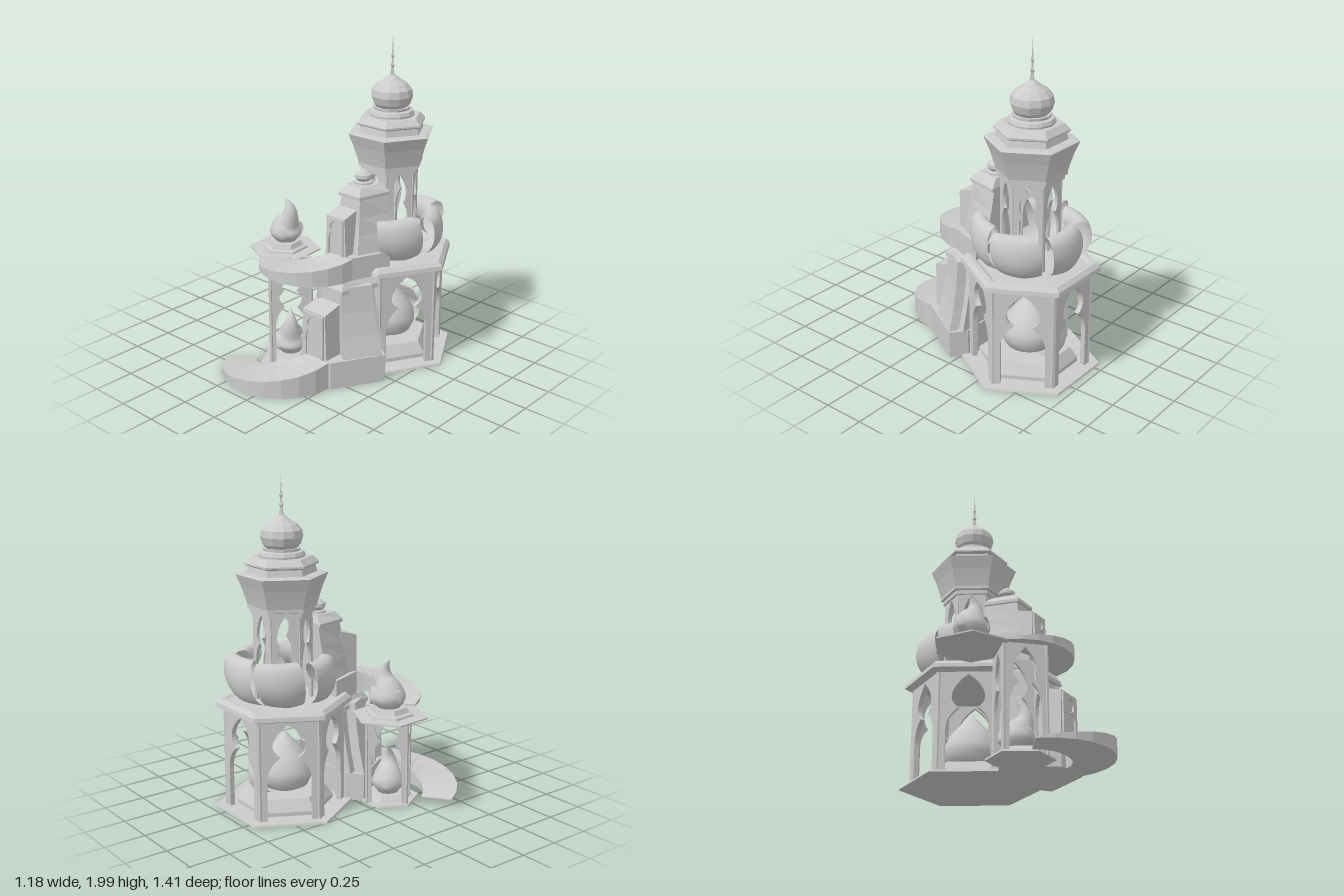
import * as THREE from 'three';
import { ParametricGeometry } from 'three/addons/geometries/ParametricGeometry.js';

const flat = new THREE.MeshStandardMaterial({ color: 0xcccccc, flatShading: true, side: THREE.DoubleSide });
const smooth = new THREE.MeshStandardMaterial({ color: 0xcccccc, side: THREE.DoubleSide });
const V2 = (p) => new THREE.Vector2(p[0], p[1]);
const V3 = (p) => new THREE.Vector3(p[0], p[1], p[2]);

function add(parent, name, geo, mat = flat) {
  const mesh = new THREE.Mesh(geo, mat);
  mesh.name = name;
  parent.add(mesh);
  return mesh;
}

function group(parent, name, x = 0, y = 0, z = 0) {
  const g = new THREE.Group();
  g.name = name;
  g.position.set(x, y, z);
  parent.add(g);
  return g;
}

// Faceted turned solid from [radius, height] points
function turned(parent, name, pts, sides = 6, phase = Math.PI / 6, mat = flat) {
  return add(parent, name, new THREE.LatheGeometry(pts.map(V2), sides, phase), mat);
}

// Closed solid through rings of equal point count, capped at both ends
function loft(rings) {
  const m = rings[0].length, pos = rings.flat(2), idx = [];
  for (let r = 0; r < rings.length - 1; r++)
    for (let i = 0; i < m; i++) {
      const a = r * m + i, b = r * m + (i + 1) % m;
      idx.push(a, b, a + m, b, b + m, a + m);
    }
  const last = (rings.length - 1) * m;
  for (let i = 1; i < m - 1; i++) idx.push(0, i + 1, i, last, last + i, last + i + 1);
  const g = new THREE.BufferGeometry();
  g.setAttribute('position', new THREE.Float32BufferAttribute(pos, 3));
  g.setIndex(idx);
  g.computeVertexNormals();
  return g;
}

// Panel with a keyhole-shaped arch open at the foot
function archPanel(w, h, depth) {
  const k = w / 2, half = new THREE.Path();
  half.moveTo(0.72 * k, 0);
  half.lineTo(0.72 * k, 0.42 * h);
  half.quadraticCurveTo(0.7 * k, 0.56 * h, 0.3 * k, 0.64 * h);
  half.bezierCurveTo(0.66 * k, 0.7 * h, 0.66 * k, 0.83 * h, 0, 0.97 * h);
  const right = half.getPoints(8);
  const left = right.slice(0, -1).map((p) => new THREE.Vector2(-p.x, p.y));
  const outline = [V2([k, 0]), V2([k, h]), V2([-k, h]), V2([-k, 0])];
  const shape = new THREE.Shape([...outline, ...left, ...right.reverse()]);
  return new THREE.ExtrudeGeometry(shape, { depth, bevelEnabled: false });
}

// Ring of arch panels with a slim column on each corner
function arcade(parent, name, n, R, h, depth, phase) {
  const g = group(parent, name);
  const panel = archPanel(2 * R * Math.sin(Math.PI / n), h, depth);
  const column = new THREE.CylinderGeometry(depth * 0.6, depth * 0.6, h, 6);
  for (let i = 0; i < n; i++) {
    const a = phase + (i * 2 * Math.PI) / n, v = a + Math.PI / n, ap = R * Math.cos(Math.PI / n) - depth;
    const p = add(g, 'archPanel', panel);
    p.rotation.y = a;
    p.position.set(Math.sin(a) * ap, 0, Math.cos(a) * ap);
    add(g, 'cornerColumn', column).position.set(Math.sin(v) * (R - depth / 2), h / 2, Math.cos(v) * (R - depth / 2));
  }
  return g;
}

// Cupped pointed leaf following a [radius, height] spine, facing direction a
function leaf(parent, name, spine, width, cup, swirl, a) {
  const curve = new THREE.CatmullRomCurve3(spine.map((p) => V3([p[0], p[1], 0])));
  const geo = new ParametricGeometry((u, v, out) => {
    const s = 2 * u - 1, w = width * Math.pow(Math.sin(Math.PI * (0.22 + 0.78 * v)), 1.25);
    curve.getPoint(v, out);
    out.x -= cup * s * s * (1 - v);
    out.z = s * w + swirl * Math.sin(Math.PI * 0.75 * v);
  }, 8, 24);
  add(parent, name, geo, smooth).rotation.y = -a;
}

// Tapering solid along a spine of [x, y, z, radius]
function horn(parent, name, pts) {
  const curve = new THREE.CatmullRomCurve3(pts.map(V3));
  const radius = new THREE.SplineCurve(pts.map((p, i) => new THREE.Vector2(i, p[3])));
  const rings = [];
  for (let i = 0; i <= 20; i++) {
    const c = curve.getPoint(i / 20), t = curve.getTangent(i / 20), r = Math.max(0.001, radius.getPoint(i / 20).y);
    const side = new THREE.Vector3(t.y, -t.x, 0).normalize();
    rings.push(Array.from({ length: 14 }, (_, j) => {
      const a = (-j / 14) * Math.PI * 2;
      return [c.x + side.x * r * Math.cos(a), c.y + side.y * r * Math.cos(a), c.z + r * Math.sin(a)];
    }));
  }
  add(parent, name, loft(rings), smooth);
}

// Vessel with a bent tip and small scrolls on its shoulders
function curledVessel(parent, name, x, y, z, turn) {
  const g = group(parent, name, x, y, z);
  g.rotation.y = turn;
  horn(g, 'vesselBody', [[0, 0, 0, 0.06], [0, 0.06, 0, 0.1], [0.01, 0.115, 0, 0.084],
    [0.036, 0.17, 0, 0.054], [0.04, 0.215, 0, 0.038], [0.02, 0.26, 0, 0.018], [-0.01, 0.29, 0, 0.001]]);
  for (let i = 0; i < 3; i++)
    leaf(g, 'vesselScroll', [[0.06, 0.01], [0.108, 0.05], [0.103, 0.1], [0.085, 0.125], [0.07, 0.12], [0.078, 0.1]], 0.03, 0.01, 0.02, 0.9 + (i * 2 * Math.PI) / 3);
}

// Crescent ramp rising from its tip to the landing
function ramp(parent, name, cx, cz, ro, riEnd, riMid, y0, yTip, yTop) {
  const rings = [], n = 10;
  for (let i = 0; i <= n; i++) {
    const t = i / n, outer = THREE.MathUtils.degToRad(159 * (1 - t)), inner = THREE.MathUtils.degToRad(173 * (1 - t));
    const ri = riEnd - (riEnd - riMid) * Math.sin(Math.PI * t), y = yTip + (yTop - yTip) * t;
    const at = (r, a, h) => [cx + r * Math.cos(a), h, cz + r * Math.sin(a)];
    rings.push([at(ro, outer, y0), at(ro, outer, y), at(ri, inner, y), at(ri, inner, y0)]);
  }
  add(parent, name, loft(rings));
}

// Trapezoid footprint: half widths and depths at back and front
const trapezoid = (cx, y, hb, zb, hf, zf) => [[cx - hb, y, zb], [cx - hf, y, zf], [cx + hf, y, zf], [cx + hb, y, zb]];

// Entrance tower with a projecting doorway; door is [halfWidth, zBack, zFront, height]
function portal(parent, name, rings, door) {
  const g = group(parent, name);
  add(g, 'portalBody', loft(rings.map((r) => trapezoid(0.16, ...r))));
  const [w, zb, zf, h] = door, y = rings[0][0], x = 0.145;
  const box = (k, yf, yb) => [[x - k, yb, zb], [x - k, yf, zf], [x + k, yf, zf], [x + k, yb, zb]];
  add(g, 'doorway', loft([box(w, y, y), box(w * 0.88, y + h * 0.87, y + h)]));
  add(g, 'doorArch', archPanel(w * 1.6, h * 0.84, 0.015)).position.set(x, y, zf - 0.004);
}

export function createModel() {
  const model = new THREE.Group();
  model.name = 'pavilionTower';
  const tower = group(model, 'tower', 0.16, 0, -0.34);

  // Ground storey
  turned(tower, 'basePlate', [[0, 0], [0.425, 0], [0.42, 0.012], [0, 0.012]]);
  turned(tower, 'pedestal', [[0.29, 0.012], [0.29, 0.035], [0.245, 0.105], [0, 0.105]]);
  arcade(tower, 'lowerArcade', 6, 0.36, 0.62, 0.03, 0);
  turned(tower, 'largeVessel', [[0.08, 0.1], [0.14, 0.13], [0.168, 0.19], [0.165, 0.24], [0.135, 0.31], [0.085, 0.37], [0.04, 0.42], [0, 0.46]], 20, 0, smooth);
  for (const a of [Math.PI / 2, -Math.PI / 2])
    leaf(tower, 'vesselLeaf', [[0.13, 0.105], [0.22, 0.14], [0.235, 0.22], [0.2, 0.3], [0.185, 0.345], [0.205, 0.355], [0.215, 0.31]], 0.1, 0.05, 0, a);
  turned(tower, 'roofSlab', [[0, 0.615], [0.37, 0.615], [0.395, 0.63], [0.41, 0.63], [0.405, 0.655], [0.38, 0.678], [0.35, 0.678], [0.33, 0.668], [0, 0.668]]);

  // Curling petals on the five open faces
  for (let i = 0; i < 5; i++) {
    const a = THREE.MathUtils.degToRad(150 + i * 60);
    leaf(tower, 'petal', [[0.22, 0.67], [0.285, 0.7], [0.325, 0.77], [0.33, 0.86], [0.3, 0.93], [0.25, 0.945], [0.215, 0.9], [0.22, 0.83], [0.25, 0.79]], 0.14, 0.05, 0.06, a);
  }

  // Upper storey
  arcade(tower, 'upperArcade', 6, 0.175, 0.54, 0.018, 0).position.y = 0.665;
  turned(tower, 'flaredHead', [[0, 1.19], [0.19, 1.19], [0.19, 1.215], [0.205, 1.22], [0.205, 1.24], [0.22, 1.29], [0.24, 1.35], [0.27, 1.42],
    [0.25, 1.425], [0.205, 1.428], [0.195, 1.465], [0.215, 1.475], [0.215, 1.485], [0.18, 1.52], [0, 1.52]]);
  turned(tower, 'domeRing', [[0.135, 1.515], [0.137, 1.53], [0.128, 1.55], [0.108, 1.555], [0.11, 1.57], [0, 1.57]], 12, 0);
  turned(tower, 'dome', [[0.085, 1.56], [0.11, 1.59], [0.125, 1.635], [0.118, 1.675], [0.09, 1.705], [0.05, 1.73], [0.02, 1.755], [0, 1.76]], 12, 0);
  turned(tower, 'finial', [[0.02, 1.745], [0.009, 1.8], [0.016, 1.815], [0.007, 1.83], [0.007, 1.855], [0.013, 1.87], [0.006, 1.885], [0, 1.99]], 4, 0);

  // Ramps with their landings
  ramp(model, 'lowerRamp', -0.11, 0.33, 0.375, 0.2, 0.12, 0, 0.008, 0.17);
  add(model, 'lowerLanding', loft([0, 0.172].map((y) => trapezoid(0.16, y, 0.29, 0.04, 0.12, 0.335))));
  add(model, 'lowerLandingBack', loft([0, 0.172].map((y) => trapezoid(0.16, y, 0.2, -0.03, 0.29, 0.04))));
  ramp(model, 'upperRamp', -0.06, 0.115, 0.328, 0.17, 0.105, 0.63, 0.64, 0.765);
  add(model, 'upperLanding', loft([0.63, 0.768].map((y) => trapezoid(0.16, y, 0.2, -0.1, 0.105, 0.13))));

  // Entrances: rings are [y, back half width, back z, front half width, front z]
  portal(model, 'lowerPortal', [[0.17, 0.235, -0.02, 0.125, 0.21], [0.32, 0.195, -0.02, 0.11, 0.205], [0.45, 0.165, -0.02, 0.1, 0.2], [0.56, 0.148, -0.02, 0.09, 0.195],
    [0.56, 0.175, -0.02, 0.105, 0.22], [0.585, 0.175, -0.02, 0.105, 0.22], [0.63, 0.14, -0.02, 0.09, 0.19]], [0.098, 0.15, 0.33, 0.33]);
  // Side buttresses of the lower entrance
  for (const s of [-1, 1]) {
    const slab = (y, k, inset) => [[0.23, 0.02], [0.28, 0.05], [0.28 - 0.15 * k, 0.05 + 0.24 * k], [0.23 - 0.15 * k, 0.02 + 0.24 * k]]
      .map(([x, z]) => [0.16 + s * (x - inset), y, z]);
    add(model, 'buttress', loft([slab(0.17, 0.85, 0), slab(0.3, 0.78, 0.04), slab(0.44, 0.72, 0.07), slab(0.6, 0.66, 0.09)]));
  }
  portal(model, 'upperPortal', [[0.765, 0.21, -0.17, 0.1, 0.075], [0.88, 0.175, -0.17, 0.09, 0.055], [0.98, 0.145, -0.17, 0.08, 0.04], [1.09, 0.12, -0.17, 0.07, 0.025],
    [1.09, 0.135, -0.17, 0.08, 0.04], [1.11, 0.135, -0.17, 0.08, 0.04], [1.155, 0.08, -0.15, 0.055, 0]], [0.078, 0.02, 0.14, 0.265]);
  turned(group(model, 'portalKnob', 0.16, 0, -0.09), 'knob',
    [[0.055, 1.145], [0.055, 1.165], [0.035, 1.17], [0.052, 1.19], [0.05, 1.21], [0.025, 1.23], [0, 1.245]], 12, 0);

  // Side pavilion beneath the upper ramp
  const side = group(model, 'sidePavilion', -0.17, 0, 0.2);
  turned(side, 'pavilionBase', [[0, 0], [0.195, 0], [0.19, 0.012], [0.15, 0.012], [0.12, 0.05], [0, 0.05]]);
  arcade(side, 'pavilionArcade', 4, 0.18, 0.63, 0.02, Math.PI / 4);
  curledVessel(side, 'pavilionVessel', -0.01, 0.045, -0.01, -Math.PI / 4);

  // Cantilevered plate with its vessel
  const plate = group(model, 'platform', -0.388, 0, 0.02);
  turned(plate, 'platformPlate', [[0, 0.622], [0.225, 0.622], [0.225, 0.63], [0.145, 0.632], [0.14, 0.645], [0.115, 0.65], [0.1, 0.68], [0, 0.68]], 6, 0.09);
  curledVessel(plate, 'platformVessel', 0, 0.67, -0.01, 0);
  return model;
}
